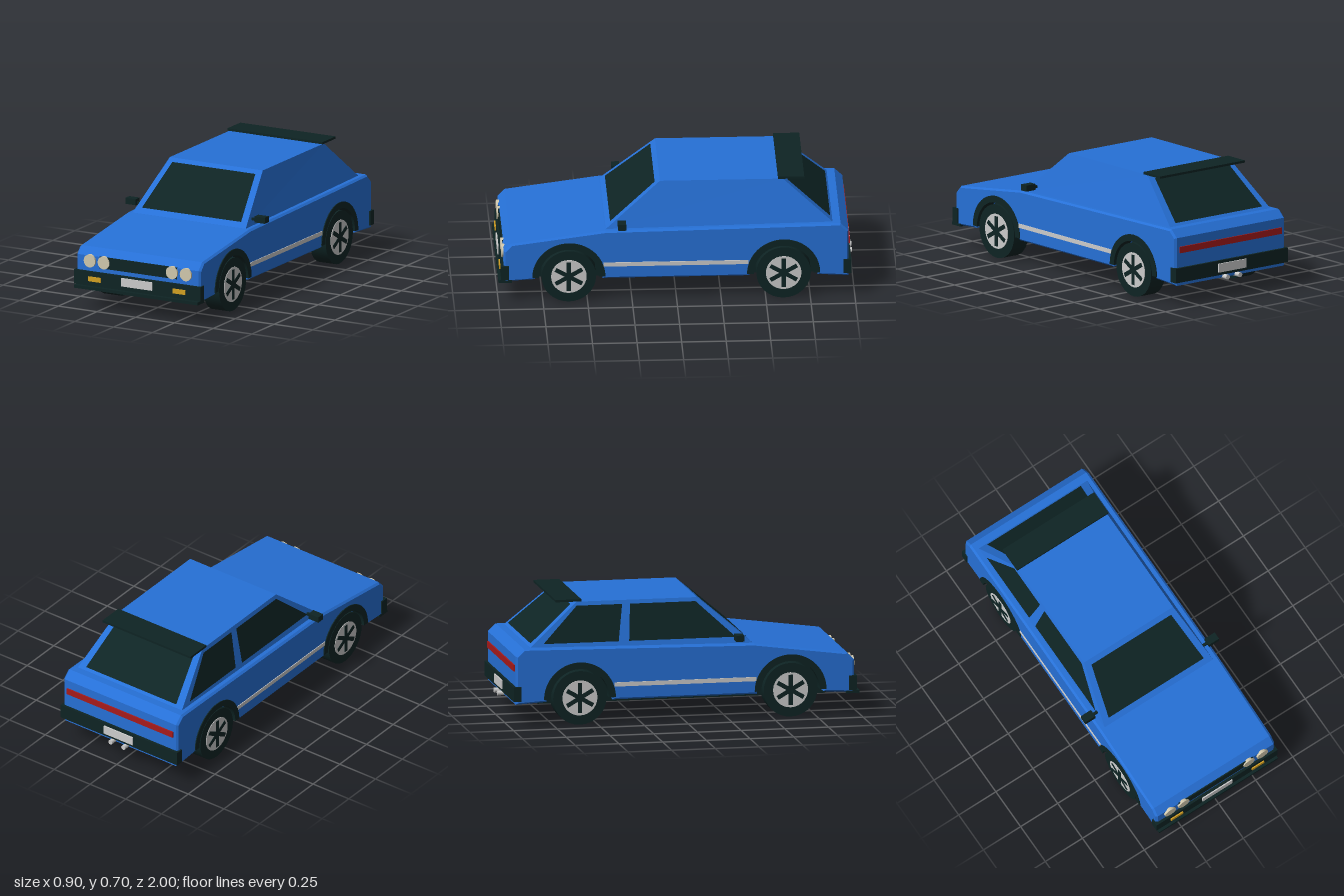
import * as THREE from 'three';

const mat = (name, color) => {
  const m = new THREE.MeshStandardMaterial({ color });
  m.name = name;
  return m;
};

export function createModel() {
  const blue = mat('bodyBlue', 0x2670d6);
  const black = mat('trimBlack', 0x0e2424);
  const silver = mat('silver', 0xcccccc);
  const cream = mat('lampCream', 0xd2c9ae);
  const amber = mat('amber', 0xd4a022);
  const red = mat('tailRed', 0xa81a1a);

  const car = new THREE.Group();
  car.name = 'car';

  const add = (name, geo, material, x = 0, y = 0, z = 0, parent = car) => {
    const mesh = new THREE.Mesh(geo, material);
    mesh.name = name;
    mesh.position.set(x, y, z);
    parent.add(mesh);
    return mesh;
  };
  // Box given by its limits on each axis
  const box = (name, material, [x0, x1], [y0, y1], [z0, z1]) =>
    add(name, new THREE.BoxGeometry(x1 - x0, y1 - y0, z1 - z0), material,
      (x0 + x1) / 2, (y0 + y1) / 2, (z0 + z1) / 2);
  // Flat-shaded four-cornered faces, corners counter-clockwise from outside
  const quads = (faces) => {
    const pos = faces.flatMap(([a, b, c, d]) => [a, b, c, a, c, d].flat());
    const geo = new THREE.BufferGeometry();
    geo.setAttribute('position', new THREE.Float32BufferAttribute(pos, 3));
    geo.computeVertexNormals();
    return geo;
  };

  const axles = [0.605, -0.6];

  // Lower body: side profile (-z, y) with wheel arches, extruded across x
  const profile = new THREE.Shape();
  profile.moveTo(-0.97, 0.125);
  for (const z of axles) {
    profile.lineTo(-z - 0.19, 0.135);
    profile.absarc(-z, 0.15, 0.19, Math.PI, 0, true);
    profile.lineTo(-z + 0.19, 0.135);
  }
  [[0.965, 0.125], [0.965, 0.4], [0.92, 0.443], [0.88, 0.443],
    [-0.4, 0.423], [-0.93, 0.353], [-0.97, 0.31]].forEach(([s, y]) => profile.lineTo(s, y));
  profile.closePath();
  const bodyGeo = new THREE.ExtrudeGeometry(profile, {
    depth: 0.776, bevelEnabled: true, bevelThickness: 0.012, bevelSize: 0.01,
    bevelOffset: -0.01, bevelSegments: 1, curveSegments: 18,
  });
  bodyGeo.translate(0, 0, -0.388).rotateY(Math.PI / 2);
  add('body', bodyGeo, blue);
  box('floor', black, [-0.29, 0.29], [0.107, 0.305], [-0.82, 0.825]);

  // Cabin: tapered block
  const B = [[-0.366, 0.42, 0.4], [0.366, 0.42, 0.4], [0.366, 0.435, -0.885], [-0.366, 0.435, -0.885]];
  const T = [[-0.3, 0.683, 0.09], [0.3, 0.683, 0.09], [0.3, 0.683, -0.6], [-0.3, 0.683, -0.6]];
  const walls = [0, 1, 2, 3].map((i) => {
    const j = (i + 1) % 4;
    return [B[i], B[j], T[j], T[i]];
  });
  add('cabin', quads([...walls, T]), blue);

  // End windows, set just proud of the sloping faces
  const endWindow = (name, zLow, zHigh, yBase, xLow, xHigh, y0, y1) => {
    const dir = Math.sign(zLow);
    const at = (x, y) => [x * dir, y + 0.003,
      zLow + (zHigh - zLow) * (y - yBase) / (0.683 - yBase) + dir * 0.003];
    add(name, quads([[at(-xLow, y0), at(xLow, y0), at(xHigh, y1), at(-xHigh, y1)]]), black);
  };
  endWindow('windscreen', 0.4, 0.09, 0.42, 0.32, 0.268, 0.448, 0.662);
  endWindow('rearWindow', -0.885, -0.6, 0.435, 0.315, 0.268, 0.455, 0.662);

  // Side windows on the right wall
  const sideWindow = (name, lowBack, lowFront, highFront, highBack) => {
    const at = (y, z) => [-(0.366 - 0.066 * (y - 0.427) / 0.256) - 0.004, y, z];
    add(name, quads([[at(0.46, lowBack), at(0.46, lowFront),
      at(0.662, highFront), at(0.662, highBack)]]), black);
  };
  sideWindow('frontSideWindow', -0.31, 0.3, 0.08, -0.295);
  sideWindow('rearSideWindow', -0.8, -0.37, -0.34, -0.6);

  box('spoiler', black, [-0.308, 0.308], [0.685, 0.698], [-0.72, -0.573]);

  // Front and rear bumpers
  box('frontBumper', black, [-0.408, 0.408], [0.14, 0.222], [0.94, 0.985]);
  box('rearBumper', black, [-0.408, 0.408], [0.145, 0.228], [-0.98, -0.935]);
  box('frontLip', black, [-0.4, 0.4], [0.12, 0.137], [0.925, 1]);
  box('frontPlate', silver, [-0.1, 0.1], [0.164, 0.212], [0.983, 0.992]);
  box('rearPlate', silver, [-0.1, 0.1], [0.162, 0.212], [-0.988, -0.978]);

  // Nose and tail details
  box('grille', black, [-0.25, 0.25], [0.246, 0.313], [0.965, 0.974]);
  box('tailLight', red, [-0.37, 0.37], [0.312, 0.348], [-0.973, -0.963]);
  const lampGeo = new THREE.CylinderGeometry(0.037, 0.037, 0.018, 24).rotateX(Math.PI / 2);
  const pipeGeo = new THREE.CylinderGeometry(0.014, 0.014, 0.08, 12).rotateX(Math.PI / 2);

  // Wheel parts, axis along x, outer face toward +x
  const tyreGeo = new THREE.CylinderGeometry(0.153, 0.153, 0.104, 32).rotateZ(Math.PI / 2);
  const discGeo = new THREE.CylinderGeometry(0.1, 0.1, 0.006, 28).rotateZ(Math.PI / 2);
  const spokeGeo = new THREE.BoxGeometry(0.006, 0.172, 0.024);

  // Arch flare: half ring
  const ring = new THREE.Shape();
  ring.absarc(0, 0, 0.205, 0, Math.PI, false);
  ring.absarc(0, 0, 0.168, Math.PI, 0, true);
  const flareGeo = new THREE.ExtrudeGeometry(ring, { depth: 0.065, bevelEnabled: false, curveSegments: 18 });
  flareGeo.translate(0, 0, -0.0325).rotateY(Math.PI / 2);

  for (const s of [1, -1]) {
    const side = s > 0 ? 'left' : 'right';
    const span = (a, b) => (s > 0 ? [a, b] : [-b, -a]);
    for (const x of [0.22, 0.31]) add(`${side}Headlamp`, lampGeo, cream, s * x, 0.281, 0.972);
    box(`${side}Indicator`, amber, span(0.232, 0.313), [0.167, 0.194], [0.983, 0.992]);
    add(`${side}Exhaust`, pipeGeo, silver, s * 0.045, 0.13, -0.96);
    box(`${side}Mirror`, black, span(0.383, 0.45), [0.447, 0.482], [0.285, 0.33]);
    box(`${side}MirrorStalk`, black, span(0.35, 0.39), [0.452, 0.466], [0.3, 0.315]);
    box(`${side}Stripe`, silver, span(0.398, 0.404), [0.21, 0.234], [-0.403, 0.41]);

    for (const z of axles) {
      add(`${side}ArchFlare`, flareGeo, black, s * 0.373, 0.15, z);
      const wheel = new THREE.Group();
      wheel.name = `${side}${z > 0 ? 'Front' : 'Rear'}Wheel`;
      wheel.position.set(s * 0.348, 0.153, z);
      if (s < 0) wheel.rotation.y = Math.PI;
      add('tyre', tyreGeo, black, 0, 0, 0, wheel);
      add('wheelDisc', discGeo, silver, 0.052, 0, 0, wheel);
      for (let i = 0; i < 3; i++) {
        add('spoke', spokeGeo, black, 0.055, 0, 0, wheel).rotation.x = i * Math.PI / 3;
      }
      car.add(wheel);
    }
  }
  return car;
}
